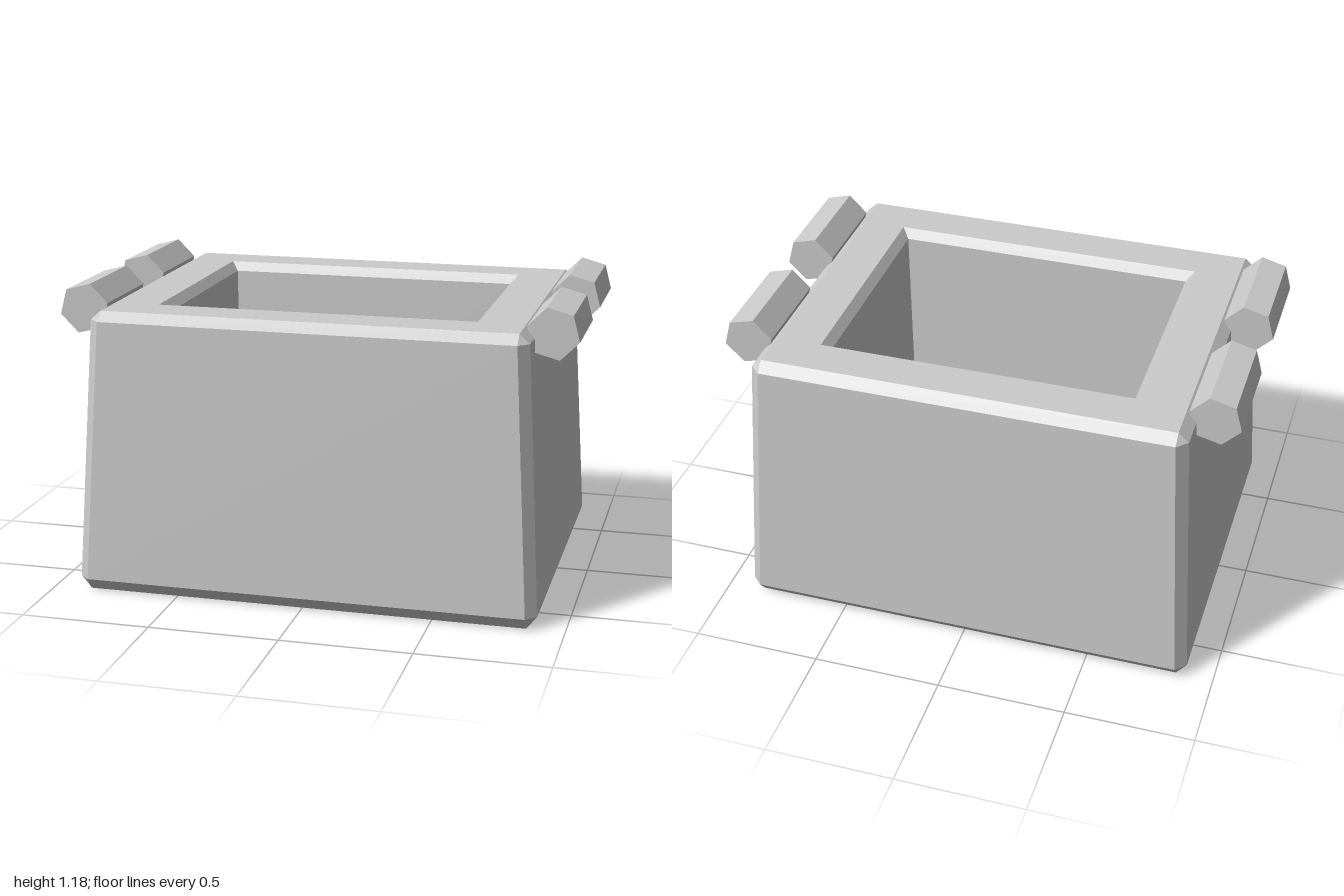
import * as THREE from 'three';

const grey = () => new THREE.MeshStandardMaterial({ color: 0xcccccc, flatShading: true });

// Rectangle with cut corners, counter-clockwise seen from above
function ring([hx, hz, y, c]) {
  return [
    [hx, -hz + c], [hx - c, -hz], [-hx + c, -hz], [-hx, -hz + c],
    [-hx, hz - c], [-hx + c, hz], [hx - c, hz], [hx, hz - c],
  ].map(([x, z]) => [x, y, z]);
}

// Joins consecutive rings with flat faces, leaving out zero-area triangles
function loft(sections) {
  const rings = sections.map(ring);
  const positions = [];
  const same = (p, q) => p.every((v, i) => Math.abs(v - q[i]) < 1e-6);
  const tri = (a, b, c) => {
    if (!same(a, b) && !same(b, c) && !same(a, c)) positions.push(...a, ...b, ...c);
  };
  for (let i = 0; i < rings.length - 1; i++) {
    for (let k = 0; k < 8; k++) {
      const n = (k + 1) % 8;
      tri(rings[i][k], rings[i][n], rings[i + 1][n]);
      tri(rings[i][k], rings[i + 1][n], rings[i + 1][k]);
    }
  }
  const geometry = new THREE.BufferGeometry();
  geometry.setAttribute('position', new THREE.Float32BufferAttribute(positions, 3));
  geometry.computeVertexNormals();
  return geometry;
}

export function createModel() {
  const model = new THREE.Group();
  model.name = 'openBox';

  // Tapered box with bevelled edges and a deep cavity: half width, half depth, height, corner cut
  const body = new THREE.Mesh(loft([
    [0, 0, 0, 0],
    [0.855, 0.67, 0, 0],
    [0.895, 0.71, 0.05, 0.04],
    [0.835, 0.665, 1.065, 0.04],
    [0.795, 0.625, 1.1, 0],
    [0.62, 0.465, 1.1, 0],
    [0.59, 0.435, 1.065, 0],
    [0.575, 0.417, 0.15, 0],
    [0, 0, 0.15, 0],
  ]), grey());
  body.name = 'body';
  model.add(body);

  // Hexagonal hinge barrels along both upper side edges
  for (const side of [1, -1]) {
    for (const [place, z] of [['Front', 0.327], ['Back', -0.302]]) {
      const shape = new THREE.Shape(Array.from({ length: 6 }, (_, i) => {
        const a = (i * 60 + side * -15) * Math.PI / 180;
        return new THREE.Vector2(0.1 * Math.cos(a), 0.1 * Math.sin(a));
      }));
      const geometry = new THREE.ExtrudeGeometry(shape, { depth: 0.39, bevelEnabled: false });
      geometry.translate(0, 0, -0.195);
      const hinge = new THREE.Mesh(geometry, grey());
      hinge.position.set(side * 0.903, 1.082, z);
      hinge.name = (side > 0 ? 'left' : 'right') + place + 'Hinge';
      model.add(hinge);
    }
  }
  return model;
}
